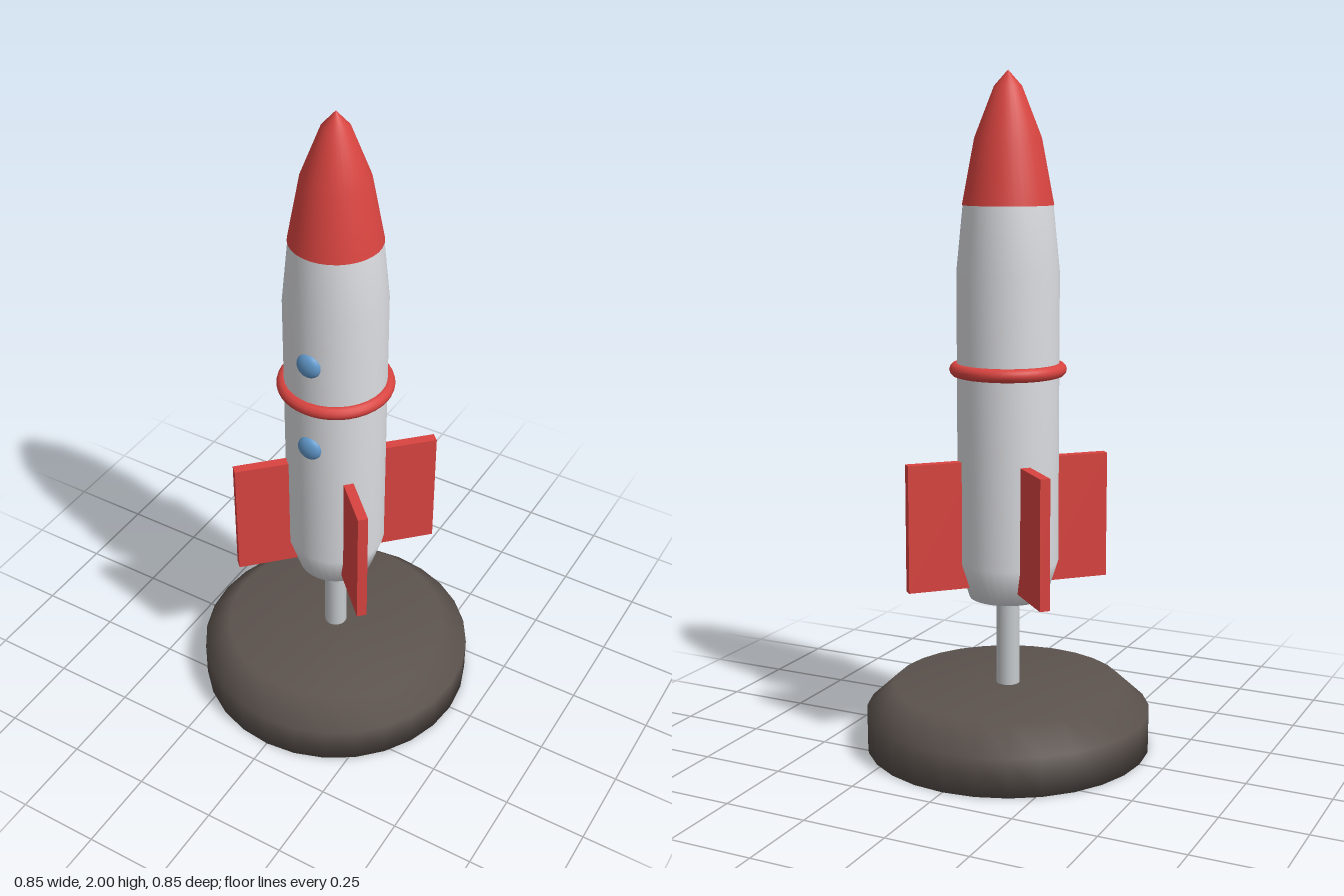
import * as THREE from 'three';

function material(name, color) {
  const m = new THREE.MeshStandardMaterial({ color });
  m.name = name;
  return m;
}

export function createModel() {
  const group = new THREE.Group();
  const red = material('red', 0xd94440);
  const white = material('white', 0xdcdde1);
  const steel = material('steel', 0xc6cacd);
  const blue = material('blue', 0x6299cc);
  const brown = material('brown', 0x5c534e);

  const add = (name, geometry, mat, x = 0, y = 0, z = 0) => {
    const mesh = new THREE.Mesh(geometry, mat);
    mesh.name = name;
    mesh.position.set(x, y, z);
    group.add(mesh);
    return mesh;
  };
  // Profiles run from the bottom axis upwards as [radius, height]
  const lathe = (points, sides) =>
    new THREE.LatheGeometry(points.map(([r, y]) => new THREE.Vector2(r, y)), sides);

  // Display stand
  add('base', lathe([[0, 0], [0.427, 0], [0.427, 0.115], [0.345, 0.19], [0, 0.19]], 28), brown);
  add('stem', new THREE.CylinderGeometry(0.035, 0.035, 0.3, 16), steel, 0, 0.33);

  // Fuselage and nose
  add('body', lathe([[0, 0.46], [0.115, 0.46], [0.15, 0.57], [0.15, 1.43], [0.131, 1.62]], 32), white);
  add('noseCone', lathe([[0.133, 1.62], [0.097, 1.81], [0.04, 1.955], [0, 2]], 32), red);
  add('noseUnderside', new THREE.CircleGeometry(0.133, 32), red, 0, 1.62).rotation.x = Math.PI / 2;

  // Band around the middle
  add('band', new THREE.TorusGeometry(0.152, 0.02, 12, 40), red, 0, 1.145).rotation.x = Math.PI / 2;

  // Portholes on the front
  for (const y of [1.0, 1.29]) {
    add('porthole', new THREE.SphereGeometry(0.038, 20, 14), blue, 0, y, 0.147).scale.z = 0.55;
  }

  // Four diagonal fins
  for (let i = 0; i < 4; i++) {
    const angle = Math.PI / 4 + (i * Math.PI) / 2;
    const r = 0.206;
    const fin = add('fin', new THREE.BoxGeometry(0.21, 0.38, 0.03), red,
      Math.cos(angle) * r, 0.688, -Math.sin(angle) * r);
    fin.rotation.y = angle;
  }
  return group;
}
